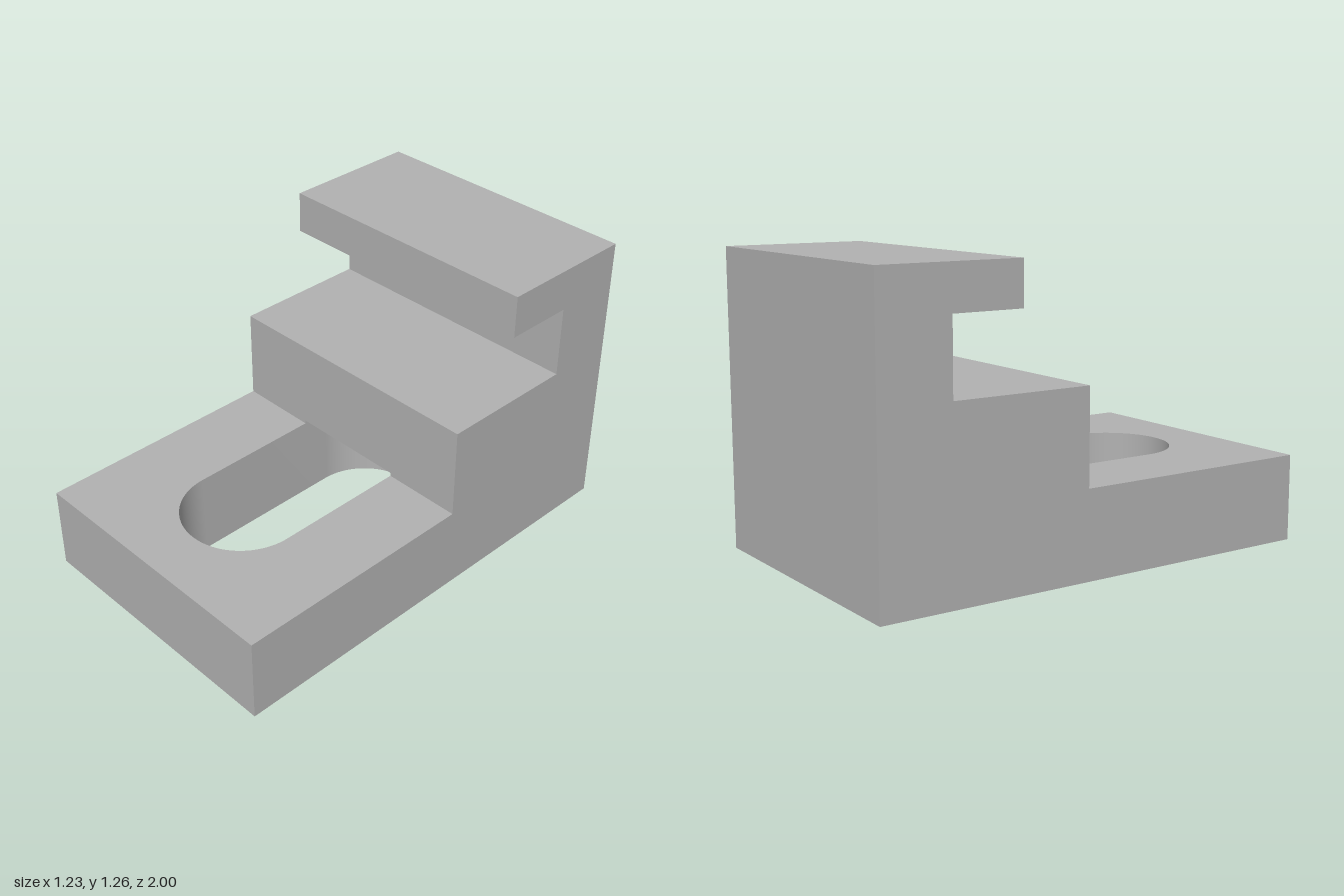
import * as THREE from 'three';
import { toCreasedNormals } from 'three/addons/utils/BufferGeometryUtils.js';

const HALF_W = 0.613, BACK = -1, FRONT = 1;
const STEP_Z = -0.08;                       // front face of the step
const PLATE_Y = 0.37, POCKET_Y = 0.385;     // plate top, slot ceiling under the step
const SLOT_R = 0.262, SLOT_FRONT = 0.508, SLOT_BACK = -0.2; // slot arc centres

const polygon = (pts) => new THREE.Shape(pts.map(([a, b]) => new THREE.Vector2(a, b)));

// Extrude a plan drawn as (x, -z) upward between two heights
function layer(shape, y0, y1) {
  const g = new THREE.ExtrudeGeometry(shape, { depth: y1 - y0, bevelEnabled: false, curveSegments: 32 });
  g.rotateX(-Math.PI / 2).translate(0, y0, 0);
  return toCreasedNormals(g, 0.5);
}

export function createModel() {
  const group = new THREE.Group();
  group.name = 'steppedClampBlock';
  const grey = new THREE.MeshStandardMaterial({ color: 0xb2b2b2 });
  grey.name = 'grey';
  const add = (name, geometry) => {
    const mesh = new THREE.Mesh(geometry, grey);
    mesh.name = name;
    group.add(mesh);
  };

  // Base plate with a round-ended through slot
  const plate = polygon([[-HALF_W, -FRONT], [HALF_W, -FRONT], [HALF_W, -BACK], [-HALF_W, -BACK]]);
  const slot = new THREE.Path();
  slot.absarc(0, -SLOT_FRONT, SLOT_R, Math.PI, Math.PI * 2, false);
  slot.absarc(0, -SLOT_BACK, SLOT_R, 0, Math.PI, false);
  slot.closePath();
  plate.holes.push(slot);
  add('slottedBasePlate', layer(plate, 0, PLATE_Y));

  // Thin layer where the slot cuts slightly into the underside of the step
  const notch = new THREE.Shape();
  notch.moveTo(-HALF_W, -STEP_Z);
  notch.lineTo(-SLOT_R, -STEP_Z);
  notch.lineTo(-SLOT_R, -SLOT_BACK);
  notch.absarc(0, -SLOT_BACK, SLOT_R, Math.PI, 0, true);
  notch.lineTo(SLOT_R, -STEP_Z);
  notch.lineTo(HALF_W, -STEP_Z);
  notch.lineTo(HALF_W, -BACK);
  notch.lineTo(-HALF_W, -BACK);
  notch.closePath();
  add('slotRelief', layer(notch, PLATE_Y, POCKET_Y));

  // Step, back wall and overhanging lip as one side profile (z, y)
  const profile = polygon([
    [BACK, POCKET_Y], [STEP_Z, POCKET_Y], [STEP_Z, 0.77], [-0.69, 0.77],
    [-0.69, 1.08], [-0.385, 1.08], [-0.385, 1.263], [BACK, 1.263],
  ]);
  const body = new THREE.ExtrudeGeometry(profile, { depth: HALF_W * 2, bevelEnabled: false });
  body.rotateY(-Math.PI / 2).translate(HALF_W, 0, 0);
  add('stepAndHookedWall', body);

  return group;
}
